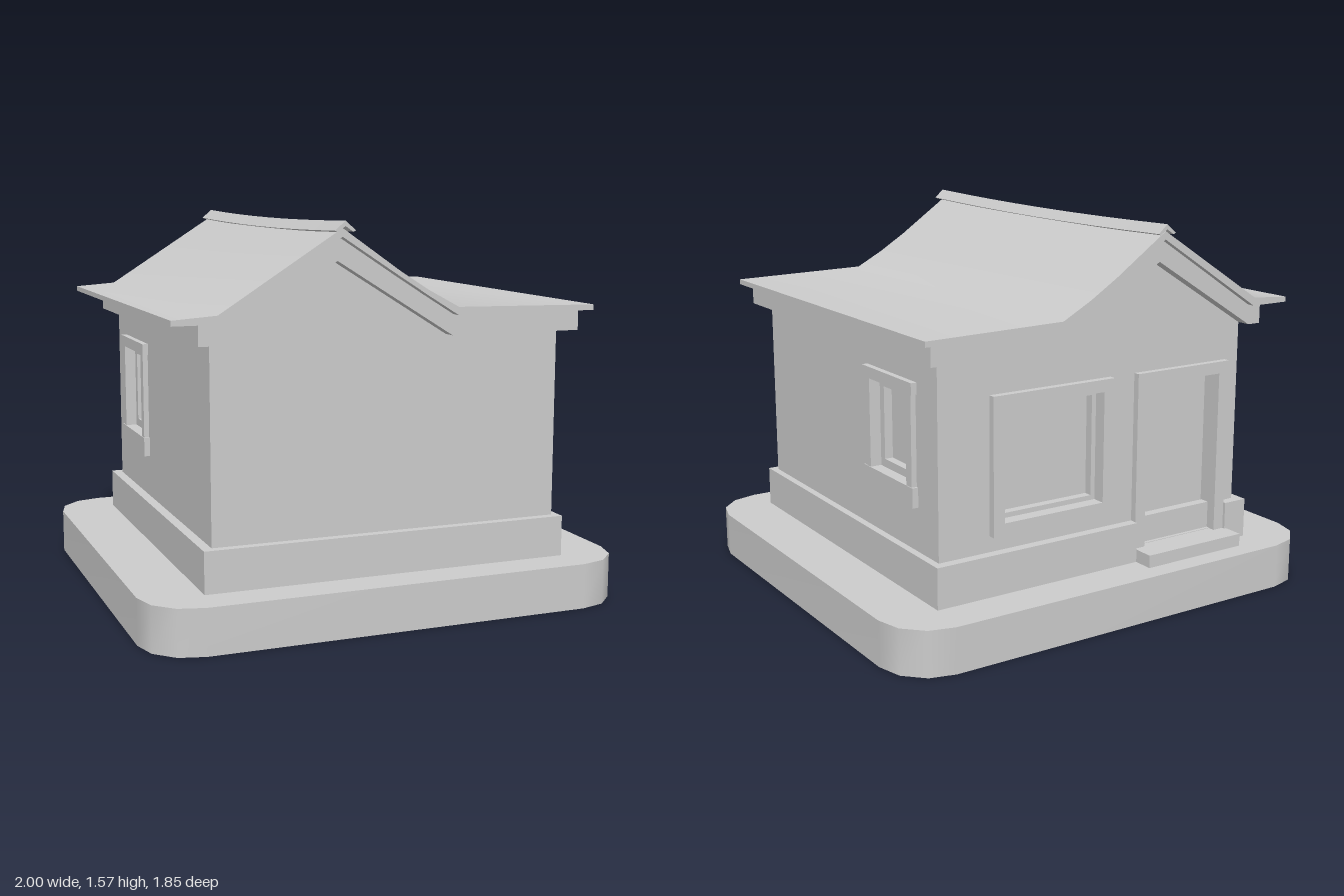
import * as THREE from 'three';
import { toCreasedNormals } from 'three/addons/utils/BufferGeometryUtils.js';

const grey = new THREE.MeshStandardMaterial({ color: 0xcccccc });
const greyDouble = new THREE.MeshStandardMaterial({ color: 0xcccccc, side: THREE.DoubleSide });

const vec = (pts) => pts.map(([x, y]) => new THREE.Vector2(x, y));
const rect = (u0, u1, v0, v1) => [[u0, v0], [u1, v0], [u1, v1], [u0, v1]];

function add(parent, name, geometry, material = grey) {
  const mesh = new THREE.Mesh(geometry, material);
  mesh.name = name;
  parent.add(mesh);
  return mesh;
}

// Outline (with optional holes) extruded from z0 to z1
function prism(pts, z0, z1, holes = [], steps = 1) {
  const shape = new THREE.Shape(vec(pts));
  holes.forEach((h) => shape.holes.push(new THREE.Path(vec(h))));
  const g = new THREE.ExtrudeGeometry(shape, { depth: z1 - z0, steps, bevelEnabled: false });
  return g.translate(0, 0, z0);
}

function box(u0, u1, v0, v1, z0, z1) {
  return new THREE.BoxGeometry(u1 - u0, v1 - v0, z1 - z0)
    .translate((u0 + u1) / 2, (v0 + v1) / 2, (z0 + z1) / 2);
}

// Wall-local group: u to the right, v up, outer face at local z = 0
function wallGroup(parent, name, x, z, turn) {
  const g = new THREE.Group();
  g.name = name;
  g.position.set(x, 0, z);
  g.rotation.y = turn;
  parent.add(g);
  return g;
}

// Recessed sash and pane filling the opening u0..u1, v0..v1
function sashAndPane(wall, u0, u1, v0, v1, w) {
  const inner = rect(u0 + w, u1 - w, v0 + w, v1 - w);
  add(wall, 'windowSash', prism(rect(u0, u1, v0, v1), -0.07, -0.025, [inner]));
  add(wall, 'windowPane', box(u0, u1, v0, v1, -0.08, -0.06));
}

// Side window with a wider lintel and sill
function sideWindow(wall, c) {
  for (const s of [-1, 1]) {
    const a = c + s * 0.144, b = c + s * 0.186;
    add(wall, 'windowJamb', box(Math.min(a, b), Math.max(a, b), 0.605, 0.975, -0.03, 0.022));
  }
  add(wall, 'windowLintel', box(c - 0.196, c + 0.196, 0.972, 1.018, -0.03, 0.025));
  add(wall, 'windowSill', box(c - 0.196, c + 0.196, 0.53, 0.61, -0.03, 0.025));
  sashAndPane(wall, c - 0.144, c + 0.144, 0.61, 0.972, 0.033);
}

function createBase(parent) {
  // Rounded rectangle outline, three facets to a corner
  const r = 0.21, hx = 1, hz = 0.925, pts = [];
  [[1, 1], [-1, 1], [-1, -1], [1, -1]].forEach(([sx, sz], k) => {
    for (let i = 0; i <= 3; i++) {
      const a = (k + i / 3) * Math.PI / 2;
      pts.push([sx * (hx - r) + r * Math.cos(a), sz * (hz - r) + r * Math.sin(a)]);
    }
  });
  const H = 0.185, n = pts.length, pos = [], idx = [];
  pts.forEach(([x, z], i) => {
    pos.push(x, 0, z, x, H, z);
    const a = 2 * i, b = 2 * ((i + 1) % n);
    idx.push(a, a + 1, b, b, a + 1, b + 1);
  });
  const rim = new THREE.BufferGeometry();
  rim.setAttribute('position', new THREE.Float32BufferAttribute(pos, 3));
  rim.setIndex(idx);
  rim.computeVertexNormals();
  add(parent, 'baseRim', rim, greyDouble);
  const top = new THREE.ShapeGeometry(new THREE.Shape(vec(pts)));
  add(parent, 'baseTop', top.rotateX(-Math.PI / 2).translate(0, H, 0), greyDouble);
}

function createWalls(parent) {
  const T = 0.1, bottom = 0.18, x0 = -0.715, x1 = 0.74, z0 = -0.715, z1 = 0.74;
  const gable = (s) => {
    const p = [[x0, bottom], [x1, bottom], [x1, 1.16], [0.245, 1.16], [-0.235, 1.455], [x0, 1.16]];
    return s > 0 ? p : p.map(([x, y]) => [-x, y]).reverse();
  };

  // Plain front wall
  const front = wallGroup(parent, 'frontWall', 0, z1, 0);
  add(front, 'wall', prism(gable(1), -T, 0));

  // Back wall with a wide window and a door (u = -x)
  const back = wallGroup(parent, 'backWall', 0, z0, Math.PI);
  const win = [-0.465, 0.0, 0.467, 0.92];
  const door = [0.22, 0.595, 0.24, 0.92];
  add(back, 'wall', prism(gable(-1), -T, 0, [rect(...win), rect(...door)]));
  add(back, 'windowFrame', prism(rect(-0.515, 0.05, 0.417, 0.97), -0.03, 0.03, [rect(...win)]));
  sashAndPane(back, ...win, 0.02);
  add(back, 'doorFrame', prism([[0.17, 0.185], [0.22, 0.185], [0.22, 0.92], [0.595, 0.92],
    [0.595, 0.185], [0.645, 0.185], [0.645, 0.97], [0.17, 0.97]], -0.05, 0.028));
  add(back, 'doorPanel', box(0.2, 0.615, 0.2, 0.94, -0.09, -0.06));
  add(back, 'doorStep', box(0.17, 0.655, 0.18, 0.238, -0.06, 0.125));

  // Side walls, each with a window near the back
  for (const s of [1, -1]) {
    const g = wallGroup(parent, s > 0 ? 'leftWall' : 'rightWall', s > 0 ? x1 : x0, 0, s * Math.PI / 2);
    const c = s * 0.37;                       // u = -z on +x, u = z on -x
    const ends = [-s * (z1 - 0.02), -s * (z0 + 0.02)].sort((a, b) => a - b);
    add(g, 'wall', prism(rect(...ends, bottom, 1.16), -T, 0, [rect(c - 0.144, c + 0.144, 0.61, 0.972)]));
    sideWindow(g, c);
  }
}

function createPlinth(parent) {
  // Footprint drawn in x and -z, notched at the door
  const foot = [[-0.755, -0.775], [0.77, -0.775], [0.77, 0.755], [-0.17, 0.755],
    [-0.17, 0.7], [-0.645, 0.7], [-0.645, 0.755], [-0.755, 0.755]];
  const inner = rect(-0.66, 0.68, -0.68, 0.66);
  add(parent, 'plinth', prism(foot, 0.18, 0.352, [inner]).rotateX(-Math.PI / 2));
}

function createRoof(parent) {
  // Cornice band under the roof
  add(parent, 'cornice', prism([[-0.775, 1.12], [-0.715, 1.12], [-0.235, 1.417], [0.245, 1.12], [0.8, 1.12],
    [0.8, 1.206], [0.245, 1.206], [-0.235, 1.51], [-0.715, 1.206], [-0.775, 1.206]], -0.775, 0.805));

  // Roof sheet with a sagging long slope and flat eaves
  const sheet = prism([[-0.888, 1.203], [-0.71, 1.203], [-0.235, 1.508], [0, 1.356], [0.12, 1.28],
    [0.245, 1.203], [0.84, 1.203], [0.84, 1.225], [0.245, 1.235], [0.12, 1.302], [0, 1.377],
    [-0.235, 1.54], [-0.715, 1.236], [-0.888, 1.224]], -0.807, 0.853);
  add(parent, 'roof', toCreasedNormals(sheet, 0.6));

  // Ridge cap, slightly lower in the middle
  const cap = prism([[-0.278, 1.532], [-0.268, 1.527], [-0.235, 1.548], [-0.205, 1.527], [-0.195, 1.532],
    [-0.235, 1.568]], -0.815, 0.883, [], 8);
  const p = cap.attributes.position;
  for (let i = 0; i < p.count; i++) {
    const t = (p.getZ(i) - 0.034) / 0.849;
    p.setY(i, p.getY(i) - 0.012 * (1 - t * t));
  }
  cap.computeVertexNormals();
  add(parent, 'ridgeCap', cap);
}

export function createModel() {
  const model = new THREE.Group();
  model.name = 'smallHouse';
  createBase(model);
  createPlinth(model);
  createWalls(model);
  createRoof(model);
  return model;
}
